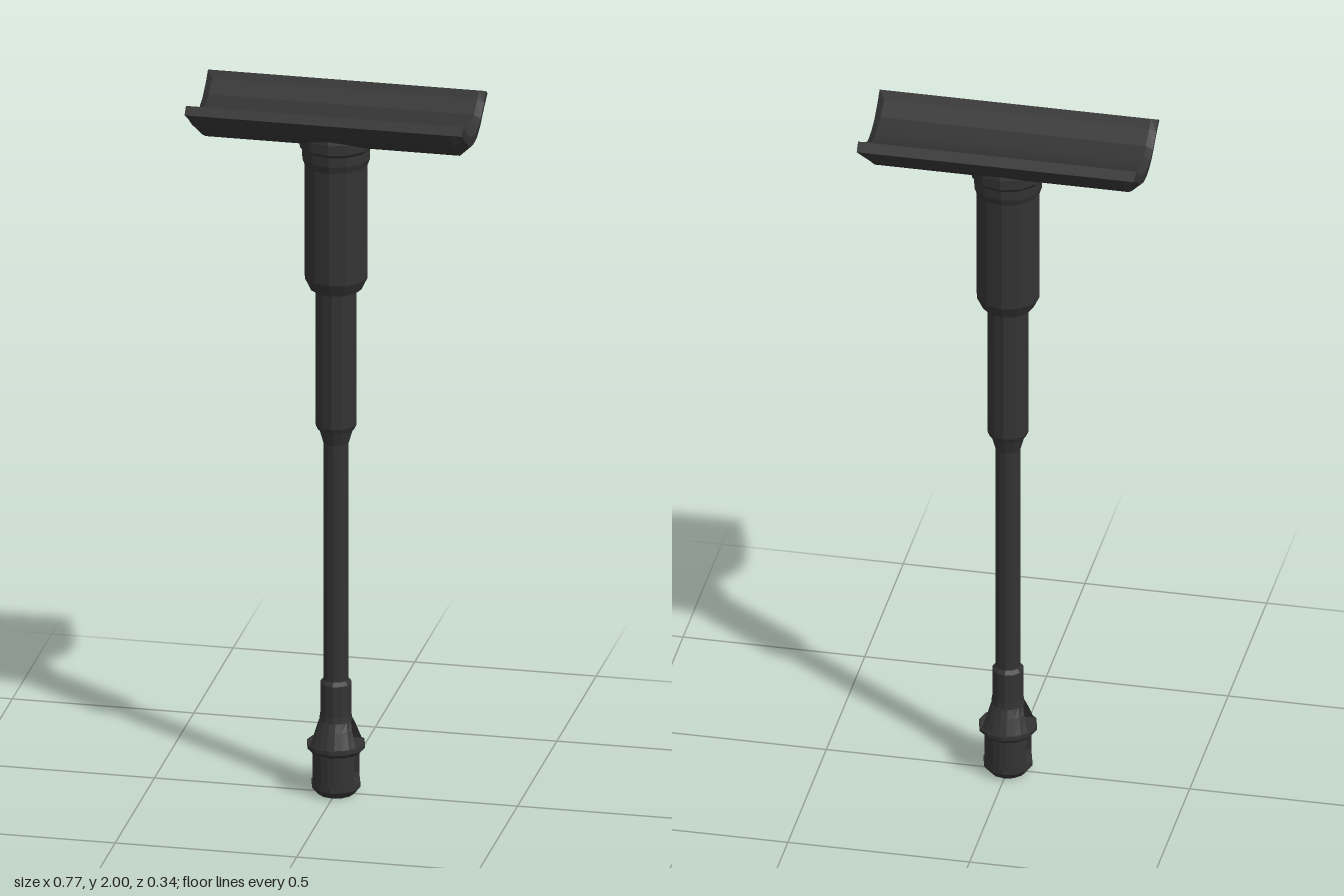
import * as THREE from 'three';

const SIDES = 12;
const darkMetal = new THREE.MeshStandardMaterial({ color: 0x333333 });

// Faceted mesh with one normal per face
function facetMesh(geometry, name) {
  const g = geometry.index ? geometry.toNonIndexed() : geometry;
  g.computeVertexNormals();
  const mesh = new THREE.Mesh(g, darkMetal);
  mesh.name = name;
  return mesh;
}

// Turned part; profile of [radius, y] running upwards on the outside
function turned(profile, name) {
  const pts = profile.map(([r, y]) => new THREE.Vector2(r, y));
  return facetMesh(new THREE.LatheGeometry(pts, SIDES), name);
}

// Solid through matching loops of [x, y, z], capped at both ends
function loft(sections, name) {
  const pos = [];
  const quad = (a, b, c, d) => pos.push(...a, ...b, ...c, ...a, ...c, ...d);
  const n = sections[0].length;
  for (let s = 0; s < sections.length - 1; s++) {
    const p = sections[s], q = sections[s + 1];
    for (let i = 0; i < n; i++) {
      const j = (i + 1) % n;
      quad(p[i], p[j], q[j], q[i]);
    }
  }
  const first = sections[0], last = sections[sections.length - 1];
  for (let i = 0; i < n / 2 - 1; i++) {
    const k = n - 1 - i;
    quad(first[i], first[k], first[k - 1], first[i + 1]);
    quad(last[i], last[i + 1], last[k - 1], last[k]);
  }
  const g = new THREE.BufferGeometry();
  g.setAttribute('position', new THREE.Float32BufferAttribute(pos, 3));
  return facetMesh(g, name);
}

// Thick curved cradle, bevelled at both ends inside and out
function buildCradle() {
  const mirror = (half) => [
    ...half.map(([z, y]) => [-z, y]),
    ...half.slice(0, -1).reverse(),
  ];
  const inner = mirror([[0.14, 2], [0.113, 1.986], [0.068, 1.957], [0.033, 1.946], [0, 1.943]]);
  const outer = mirror([[0.168, 1.983], [0.128, 1.934], [0.085, 1.9], [0.04, 1.878], [0, 1.873]]);
  // xIn and xOut place the two skins; the cuts draw each towards the other
  const section = (xIn, xOut, inCut, outCut) => {
    const blend = (x, a, b, t) => a.map(([z, y], i) => {
      const k = i === 0 || i === a.length - 1 ? 0 : t;
      return [x, y + (b[i][1] - y) * k, z + (b[i][0] - z) * k];
    });
    return [...blend(xIn, inner, outer, inCut), ...blend(xOut, outer, inner, outCut).reverse()];
  };
  return loft([
    section(-0.383, -0.381, 0.2, 0.42),
    section(-0.365, -0.35, 0, 0),
    section(0.365, 0.35, 0, 0),
    section(0.383, 0.381, 0.2, 0.42),
  ], 'cradle');
}

// Pair of walls left standing beside a slot; rows of [y, radius, slot half width]
function slottedWalls(rows, name) {
  const group = new THREE.Group();
  group.name = name;
  const sections = rows.map(([y, r, w]) => {
    const reach = Math.acos(w / r);
    return Array.from({ length: 8 }, (_, i) => {
      const t = reach * (2 * i / 7 - 1);
      return [r * Math.sin(t), y, r * Math.cos(t)];
    });
  });
  for (const side of [0, 1]) {
    const wall = loft(sections, side ? 'backWall' : 'frontWall');
    wall.rotation.y = side * Math.PI;
    group.add(wall);
  }
  return group;
}

export function createModel() {
  const model = new THREE.Group();
  model.name = 'cradleStand';

  model.add(buildCradle());

  // Collar seated in the underside of the cradle
  model.add(turned([
    [0, 1.81], [0.087, 1.815], [0.094, 1.835], [0.094, 1.862],
    [0.102, 1.872], [0.102, 1.9], [0.096, 1.92], [0, 1.92],
  ], 'collar'));

  // Telescoping column
  model.add(turned([
    [0, 1.455], [0.07, 1.455], [0.087, 1.49], [0.087, 1.82], [0, 1.82],
  ], 'upperSleeve'));
  model.add(turned([
    [0, 1.05], [0.05, 1.05], [0.057, 1.065], [0.057, 1.46], [0, 1.46],
  ], 'middleSleeve'));
  model.add(turned([
    [0, 0.31], [0.034, 0.31], [0.035, 1.01], [0.048, 1.055], [0, 1.055],
  ], 'rod'));

  // Socket at the foot, slotted from side to side
  model.add(turned([
    [0, 0.21], [0.046, 0.21], [0.043, 0.23], [0.043, 0.318], [0.034, 0.328], [0, 0.328],
  ], 'socketNeck'));
  model.add(slottedWalls([
    [0.14, 0.077, 0.042], [0.19, 0.056, 0.026], [0.212, 0.046, 0.013],
  ], 'flaredWalls'));
  model.add(turned([
    [0.044, 0.12], [0.066, 0.12], [0.08, 0.134], [0.08, 0.146], [0.044, 0.146], [0.044, 0.12],
  ], 'flange'));
  model.add(slottedWalls([
    [0.03, 0.066, 0.026], [0.05, 0.066, 0.033], [0.108, 0.066, 0.033], [0.124, 0.066, 0.026],
  ], 'socketWalls'));
  model.add(turned([
    [0.042, 0.006], [0.05, 0], [0.067, 0.02], [0.067, 0.036], [0.042, 0.036], [0.042, 0.006],
  ], 'footRing'));

  return model;
}
